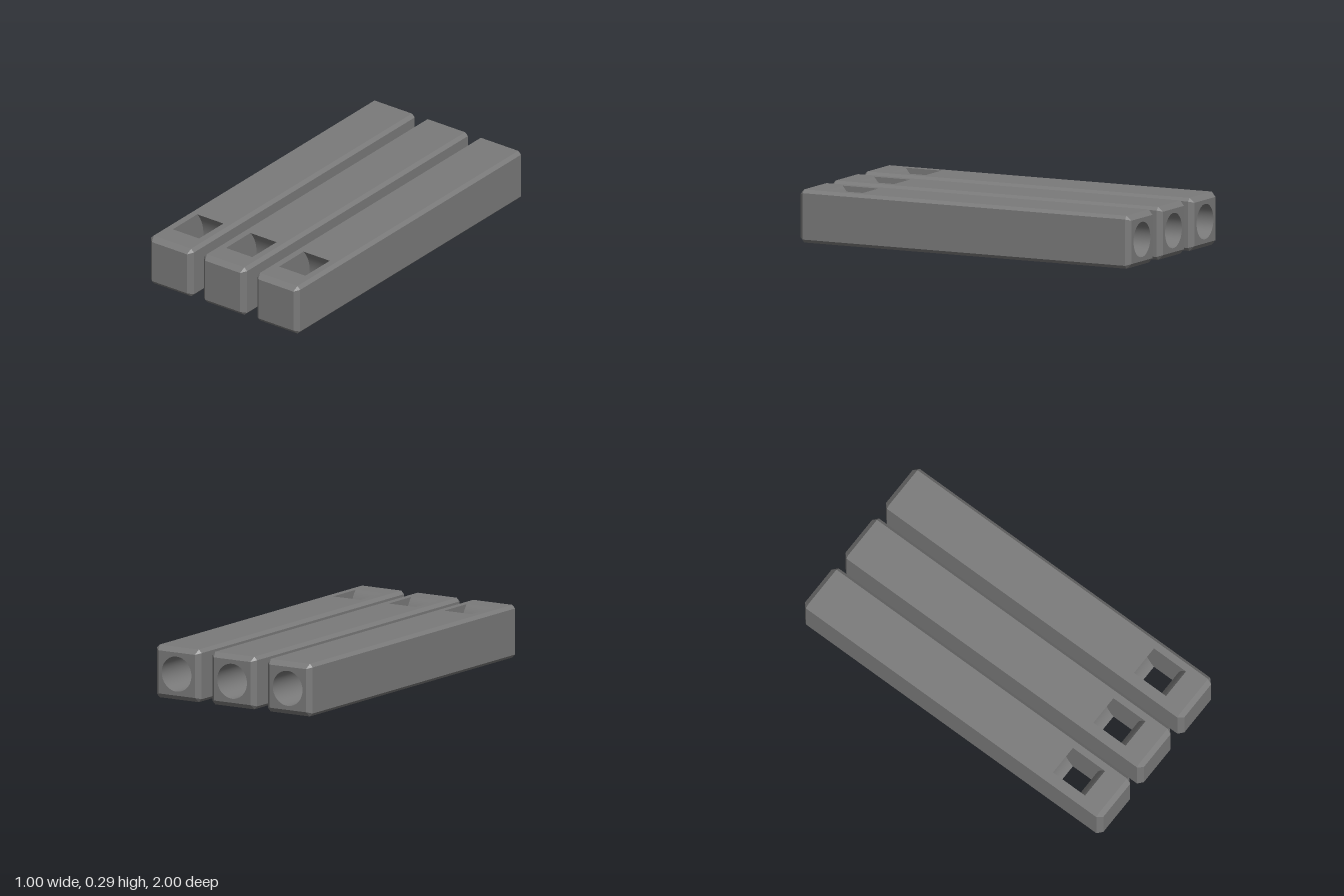
import * as THREE from 'three';
import { toCreasedNormals } from 'three/addons/utils/BufferGeometryUtils.js';

const HALF = 0.143, H = HALF * 2, EDGE = 0.018, END = 0.026;
const SLOT = { w: 0.0875, back: 0.64, front: 0.855, sag: 0.055 };
const BORE = { r: 0.095, depth: 0.7 };

// Geometry from a list of four-cornered faces
function quads(list) {
  const pos = [];
  for (const [a, b, c, d] of list) pos.push(...a, ...b, ...c, ...a, ...c, ...d);
  const g = new THREE.BufferGeometry();
  g.setAttribute('position', new THREE.Float32BufferAttribute(pos, 3));
  g.computeVertexNormals();
  return g;
}

// Eight-point cross-section, counter-clockwise; equal sides with cut corners
function ring(half, cut, z) {
  const k = half - cut;
  return [[half, -k], [half, k], [k, half], [-k, half], [-half, k], [-half, -k], [-k, -half], [k, -half]]
    .map(([x, y]) => [x, y + HALF, z]);
}

// Chamfered sides and ends; top and bottom are separate pierced panels
function shellGeometry() {
  const rings = [ring(HALF - END, 0, -1), ring(HALF, EDGE, -1 + END), ring(HALF, EDGE, 1 - END), ring(HALF - END, 0, 1)];
  const faces = [];
  for (let s = 0; s < 3; s++) {
    for (let i = 0; i < 8; i++) {
      if (s === 1 && (i === 2 || i === 6)) continue;
      const j = (i + 1) % 8, a = rings[s], b = rings[s + 1];
      faces.push([a[i], a[j], b[j], b[i]]);
    }
  }
  const f = rings[3];
  faces.push([f[0], f[1], f[3], f[5]]);
  return quads(faces);
}

function rectPoints(x, z0, z1) {
  return [[-x, z0], [x, z0], [x, z1], [-x, z1]].map(([a, b]) => new THREE.Vector2(a, b));
}

// Flat panel with the slot opening
function panelGeometry(top) {
  const s = top ? -1 : 1;
  const shape = new THREE.Shape(rectPoints(HALF - EDGE, -1 + END, 1 - END));
  shape.holes.push(new THREE.Path(rectPoints(SLOT.w, s * SLOT.back, s * SLOT.front)));
  return new THREE.ShapeGeometry(shape).rotateX(s * Math.PI / 2).translate(0, top ? H : 0, 0);
}

// Slot walls, bowed towards the back at mid height
function slotGeometry() {
  const faces = [], n = 20, w = SLOT.w;
  const R = (HALF * HALF + SLOT.sag * SLOT.sag) / (2 * SLOT.sag);
  const bow = (y) => Math.sqrt(R * R - (y - HALF) ** 2) - (R - SLOT.sag);
  for (let i = 0; i < n; i++) {
    const y0 = H * i / n, y1 = H * (i + 1) / n, d0 = bow(y0), d1 = bow(y1);
    const b0 = SLOT.back - d0, b1 = SLOT.back - d1, f0 = SLOT.front - d0, f1 = SLOT.front - d1;
    faces.push([[-w, y0, f0], [-w, y1, f1], [w, y1, f1], [w, y0, f0]]);
    faces.push([[-w, y0, b0], [w, y0, b0], [w, y1, b1], [-w, y1, b1]]);
    faces.push([[w, y0, b0], [w, y0, f0], [w, y1, f1], [w, y1, b1]]);
    faces.push([[-w, y0, b0], [-w, y1, b1], [-w, y1, f1], [-w, y0, f0]]);
  }
  return toCreasedNormals(quads(faces), 0.5);
}

// Back end face around the round bore
function backGeometry() {
  const k = HALF - END;
  const shape = new THREE.Shape(rectPoints(k, -k, k));
  shape.holes.push(new THREE.Path().absarc(0, 0, BORE.r, 0, Math.PI * 2, true));
  return new THREE.ShapeGeometry(shape, 24).rotateY(Math.PI).translate(0, HALF, -1);
}

// Blind bore, facing inwards
function boreGeometry() {
  const end = -1 + BORE.depth;
  const pts = [[0, end], [BORE.r, end], [BORE.r, -1]].map(([x, y]) => new THREE.Vector2(x, y));
  const g = new THREE.LatheGeometry(pts, 48).rotateX(Math.PI / 2).translate(0, HALF, 0);
  return toCreasedNormals(g, 0.6);
}

export function createModel() {
  const model = new THREE.Group();
  model.name = 'barSet';
  const grey = new THREE.MeshStandardMaterial({ color: 0x7a7a7a });
  grey.name = 'grey';
  const parts = {
    shell: shellGeometry(),
    topPanel: panelGeometry(true),
    bottomPanel: panelGeometry(false),
    slotWalls: slotGeometry(),
    backFace: backGeometry(),
    bore: boreGeometry(),
  };
  ['rightBar', 'middleBar', 'leftBar'].forEach((name, i) => {
    const bar = new THREE.Group();
    bar.name = name;
    bar.position.x = (i - 1) * 0.355;
    for (const [part, geometry] of Object.entries(parts)) {
      const mesh = new THREE.Mesh(geometry, grey);
      mesh.name = part;
      bar.add(mesh);
    }
    model.add(bar);
  });
  return model;
}
